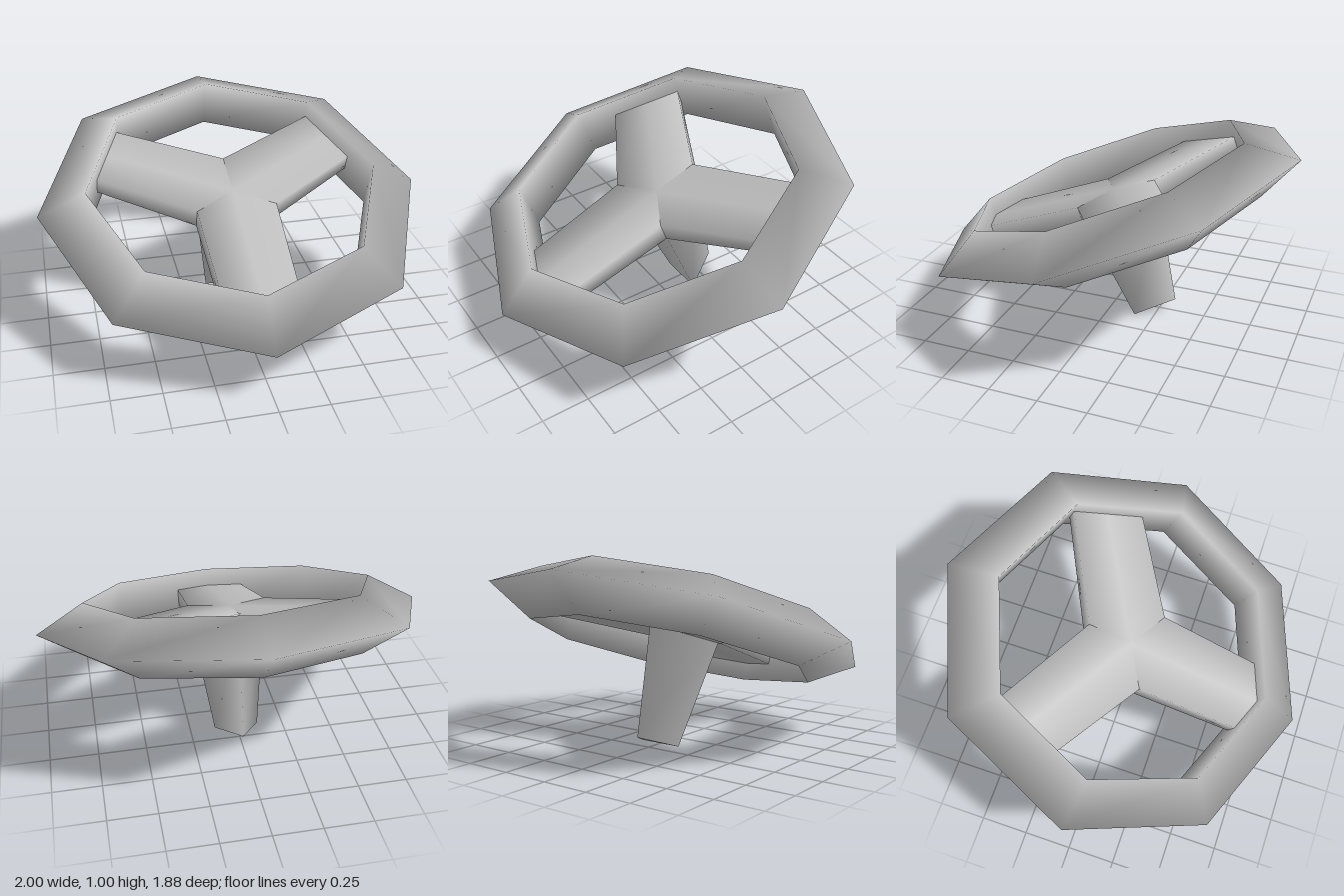
import * as THREE from 'three';

const grey = new THREE.MeshStandardMaterial({ color: 0xbfbfbf });
grey.name = 'grey';

// One flat spoke along +z: its inner end is mitred so three of them meet in a Y,
// and its long edges carry rounded normals.
function spokeGeometry() {
  const hubW = 0.208, endW = 0.184, hubH = 0.053, endH = 0.043, length = 0.8;
  const profile = [[-1, -1], [0, -1], [1, -1], [1, 1], [0, 1], [-1, 1]];
  const positions = [], normals = [], index = [];
  for (const end of [0, 1]) {
    const w = end ? endW : hubW, h = end ? endH : hubH;
    for (const [sx, sy] of profile) {
      const z = end ? length : Math.abs(sx) * hubW / Math.sqrt(3);
      positions.push(sx * w, sy * h, z);
      const l = Math.hypot(sx, sy);
      normals.push(sx / l, sy / l, 0);
    }
  }
  const n = profile.length;
  for (let i = 0; i < n; i++) {
    const j = (i + 1) % n;
    index.push(i, j, n + j, i, n + j, n + i);
  }
  const g = new THREE.BufferGeometry();
  g.setAttribute('position', new THREE.Float32BufferAttribute(positions, 3));
  g.setAttribute('normal', new THREE.Float32BufferAttribute(normals, 3));
  g.setIndex(index);
  return g;
}

export function createModel() {
  const model = new THREE.Group();
  model.name = 'steeringWheel';

  // Everything is built level, then tilted towards the front
  const wheel = new THREE.Group();
  wheel.name = 'tiltedWheel';
  wheel.position.y = 0.606;
  wheel.rotation.x = THREE.MathUtils.degToRad(20);
  model.add(wheel);

  const add = (name, geometry) => {
    const mesh = new THREE.Mesh(geometry, grey);
    mesh.name = name;
    wheel.add(mesh);
    return mesh;
  };

  // Eight-sided rim with a triangular section
  add('rim', new THREE.TorusGeometry(0.836, 0.164, 3, 8).rotateX(-Math.PI / 2));

  // Three spokes meeting at the hub
  const spoke = spokeGeometry();
  ['frontSpoke', 'backLeftSpoke', 'backRightSpoke'].forEach((name, i) => {
    add(name, spoke).rotation.y = i * Math.PI * 2 / 3;
  });

  // Three-sided column tapering downwards, one corner to the back
  const top = -0.02, bottom = -0.622;
  add('column', new THREE.CylinderGeometry(0.234, 0.135, top - bottom, 3, 1, false, Math.PI))
    .position.y = (top + bottom) / 2;

  return model;
}
